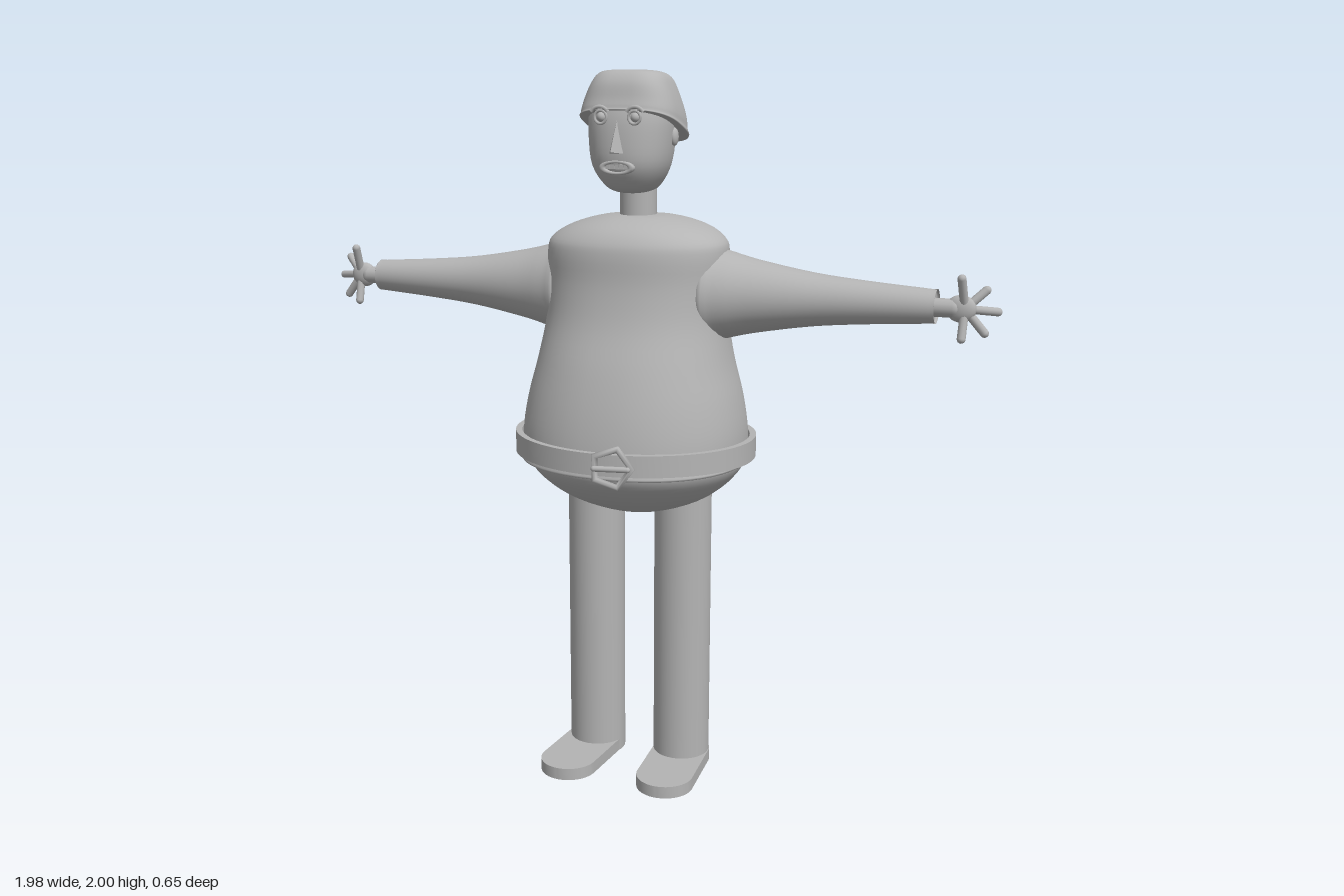
import * as THREE from 'three';
import { toCreasedNormals } from 'three/addons/utils/BufferGeometryUtils.js';

const clay = new THREE.MeshStandardMaterial({ color: 0xb4b4b4 });
clay.name = 'clay grey';

function add(parent, name, geometry, x = 0, y = 0, z = 0) {
  const mesh = new THREE.Mesh(geometry, clay);
  mesh.name = name;
  mesh.position.set(x, y, z);
  parent.add(mesh);
  return mesh;
}

// Closed loft, bottom to top. Section: [y, half width, front z, back z].
// power squares off the ovals, slope tilts the sections along z.
function loft(sections, { power = 2, slope = () => 0, sides = 40, steps = 4 } = {}) {
  const lerp = (k, f, i) => {
    const s = (n) => sections[Math.min(Math.max(n, 0), sections.length - 1)][k];
    const [a, b, c, d] = [s(i - 1), s(i), s(i + 1), s(i + 2)];
    return b + 0.5 * f * (c - a + f * (2 * a - 5 * b + 4 * c - d + f * (3 * (b - c) + d - a)));
  };
  const pos = [], index = [];
  const rows = (sections.length - 1) * steps;
  const round = (v) => Math.sign(v) * Math.abs(v) ** (2 / power);
  for (let r = 0; r <= rows; r++) {
    const i = Math.min(Math.floor(r / steps), sections.length - 2);
    const [y, w, front, back] = [0, 1, 2, 3].map((k) => lerp(k, r / steps - i, i));
    for (let j = 0; j < sides; j++) {
      const t = (j / sides) * Math.PI * 2;
      const z = (front + back) / 2 + ((front - back) / 2) * round(Math.sin(t));
      pos.push(w * round(Math.cos(t)), y + slope(r / rows) * z, z);
      if (r === rows) continue;
      const a = r * sides + j, b = r * sides + ((j + 1) % sides);
      index.push(a, a + sides, b, b, a + sides, b + sides);
    }
  }
  const g = new THREE.BufferGeometry();
  g.setAttribute('position', new THREE.Float32BufferAttribute(pos, 3));
  g.setIndex(index);
  g.computeVertexNormals();
  return g;
}

// Round-ended rod between two points
function rod(parent, name, a, b, radius) {
  const from = new THREE.Vector3(...a), to = new THREE.Vector3(...b);
  const dir = to.clone().sub(from);
  const mesh = add(parent, name, new THREE.CapsuleGeometry(radius, dir.length(), 4, 12));
  mesh.position.copy(from).add(to).multiplyScalar(0.5);
  mesh.quaternion.setFromUnitVectors(new THREE.Vector3(0, 1, 0), dir.normalize());
}

function buildBody(model) {
  add(model, 'torso', loft([
    [0.925, 0.02, 0.0, -0.04], [0.93, 0.3, 0.26, -0.305], [0.96, 0.315, 0.275, -0.312],
    [1.03, 0.315, 0.27, -0.305], [1.12, 0.3, 0.252, -0.29], [1.22, 0.275, 0.222, -0.265],
    [1.33, 0.257, 0.18, -0.24], [1.43, 0.255, 0.158, -0.226], [1.51, 0.257, 0.152, -0.222],
    [1.55, 0.245, 0.14, -0.218], [1.585, 0.19, 0.105, -0.2], [1.61, 0.1, 0.04, -0.13],
    [1.615, 0.003, -0.03, -0.036],
  ], { power: 2.2, sides: 48 }));
  add(model, 'pelvis', loft([
    [0.767, 0.003, -0.04, -0.046], [0.778, 0.09, 0.04, -0.13], [0.81, 0.18, 0.125, -0.205],
    [0.85, 0.245, 0.195, -0.26], [0.9, 0.295, 0.25, -0.302], [0.94, 0.31, 0.268, -0.315],
    [0.96, 0.29, 0.25, -0.295],
  ], { sides: 48 }));

  // Loose belt hoop with a five-sided buckle and prong
  const hoop = new THREE.Shape().absellipse(0, 0, 0.345, 0.31, 0, Math.PI * 2);
  hoop.holes.push(new THREE.Path().absellipse(0, 0, 0.327, 0.292, 0, Math.PI * 2));
  const hoopGeo = new THREE.ExtrudeGeometry(hoop, { depth: 0.06, bevelEnabled: false, curveSegments: 56 });
  hoopGeo.rotateX(-Math.PI / 2);
  add(model, 'belt', toCreasedNormals(hoopGeo, 0.6), 0, 0.946, -0.013).rotation.x = -0.015;
  const buckle = new THREE.Group();
  buckle.name = 'buckle';
  buckle.position.set(0.055, 0.977, 0.303);
  buckle.rotation.y = 0.22;
  add(buckle, 'buckleFrame', new THREE.TorusGeometry(0.055, 0.01, 8, 5));
  rod(buckle, 'buckleProng', [-0.045, 0, 0.008], [0.045, 0, 0.01], 0.008);
  model.add(buckle);
}

function buildLimbs(model, side, label) {
  add(model, label + 'Leg', new THREE.CylinderGeometry(0.082, 0.082, 0.87, 32), side * 0.134, 0.435, -0.046);

  // Flat foot with rounded toe and heel
  const sole = new THREE.Shape();
  sole.absarc(side * 0.15, -0.137, 0.082, Math.PI, Math.PI * 2);
  sole.absarc(side * 0.136, 0.046, 0.082, 0, Math.PI);
  const foot = new THREE.ExtrudeGeometry(sole, { depth: 0.035, bevelEnabled: false, curveSegments: 16 });
  foot.rotateX(-Math.PI / 2);
  add(model, label + 'Foot', toCreasedNormals(foot, 0.6));

  // Sleeve runs outwards, flared at the shoulder
  const sleeve = [[0.2, 0.01], [0.205, 0.125], [0.25, 0.122], [0.34, 0.1], [0.5, 0.072], [0.65, 0.057],
    [0.815, 0.045], [0.82, 0.042], [0.82, 0.002]].map(([d, r]) => [d, r, r, -r]);
  const arm = add(model, label + 'Sleeve', loft(sleeve, { sides: 32 }), 0, 1.402, -0.046);
  arm.rotation.z = -side * Math.PI / 2;

  // Hand: wrist, palm and five splayed fingers
  const hand = new THREE.Group();
  hand.name = label + 'Hand';
  rod(hand, 'wrist', [side * 0.8, 1.4, -0.046], [side * 0.87, 1.4, -0.046], 0.025);
  const palm = add(hand, 'palm', new THREE.SphereGeometry(0.04, 20, 14), side * 0.89, 1.4, -0.046);
  palm.scale.set(1, 0.9, 0.5);
  const tips = [[0.894, 1.482, -0.012], [0.95, 1.448, -0.07], [0.98, 1.392, -0.078],
    [0.952, 1.338, -0.055], [0.898, 1.324, -0.025]];
  for (const [x, y, z] of tips) {
    rod(hand, 'finger', [side * 0.9, 1.4, -0.046], [side * x, y, z], 0.0115);
  }
  model.add(hand);
}

function buildHead(model) {
  add(model, 'neck', new THREE.CylinderGeometry(0.051, 0.051, 0.16, 28), 0, 1.66, -0.035);
  add(model, 'skull', loft([
    [1.672, 0.003, 0.0, -0.006], [1.679, 0.045, 0.06, -0.07], [1.7, 0.075, 0.093, -0.085],
    [1.75, 0.103, 0.122, -0.098], [1.82, 0.114, 0.125, -0.108], [1.89, 0.115, 0.115, -0.108],
    [1.94, 0.095, 0.085, -0.09], [1.965, 0.003, 0, -0.006],
  ], { power: 2.3 }));

  // Helmet-like hair whose rim slopes down towards the back
  add(model, 'hair', loft([
    [1.862, 0.004, 0.0, -0.006], [1.852, 0.127, 0.113, -0.13], [1.866, 0.135, 0.12, -0.134],
    [1.9, 0.13, 0.112, -0.13], [1.95, 0.112, 0.1, -0.118], [1.985, 0.092, 0.078, -0.1],
    [1.997, 0.06, 0.05, -0.065], [1.999, 0.003, 0, -0.006],
  ], { power: 3, slope: (t) => 0.46 * (1 - t) ** 1.2 }));

  // Nose wedge
  const nose = new THREE.BufferGeometry();
  const [top, left, right, tip] = [[0, 1.875, 0.118], [0.027, 1.783, 0.11], [-0.027, 1.783, 0.11], [0, 1.79, 0.166]];
  nose.setAttribute('position', new THREE.Float32BufferAttribute(
    [top, tip, left, top, right, tip, left, tip, right].flat(), 3));
  nose.computeVertexNormals();
  add(model, 'nose', nose);

  // Open mouth: lip ring and a row of teeth
  const lips = add(model, 'lips', new THREE.TorusGeometry(0.034, 0.009, 8, 28), 0, 1.748, 0.12);
  lips.scale.set(1.2, 0.45, 1);
  for (let i = -2; i <= 2; i++) {
    add(model, 'tooth', new THREE.BoxGeometry(0.011, 0.012, 0.012), i * 0.0125, 1.75, 0.118);
  }

  for (const side of [-1, 1]) {
    add(model, 'eyeball', new THREE.SphereGeometry(0.013, 16, 12), side * 0.048, 1.878, 0.11);
    add(model, 'eyeRim', new THREE.TorusGeometry(0.017, 0.004, 8, 24), side * 0.048, 1.878, 0.117);
    const brow = add(model, 'eyebrow', new THREE.TorusGeometry(0.028, 0.005, 8, 16, 2), side * 0.05, 1.877, 0.119);
    brow.rotation.z = Math.PI / 2 - 1;
    const ear = add(model, 'ear', new THREE.SphereGeometry(0.022, 16, 12), side * 0.115, 1.825, -0.005);
    ear.scale.set(0.5, 1.1, 0.8);
  }
}

export function createModel() {
  const model = new THREE.Group();
  model.name = 'standingFigure';
  buildBody(model);
  buildLimbs(model, 1, 'left');
  buildLimbs(model, -1, 'right');
  buildHead(model);
  return model;
}
